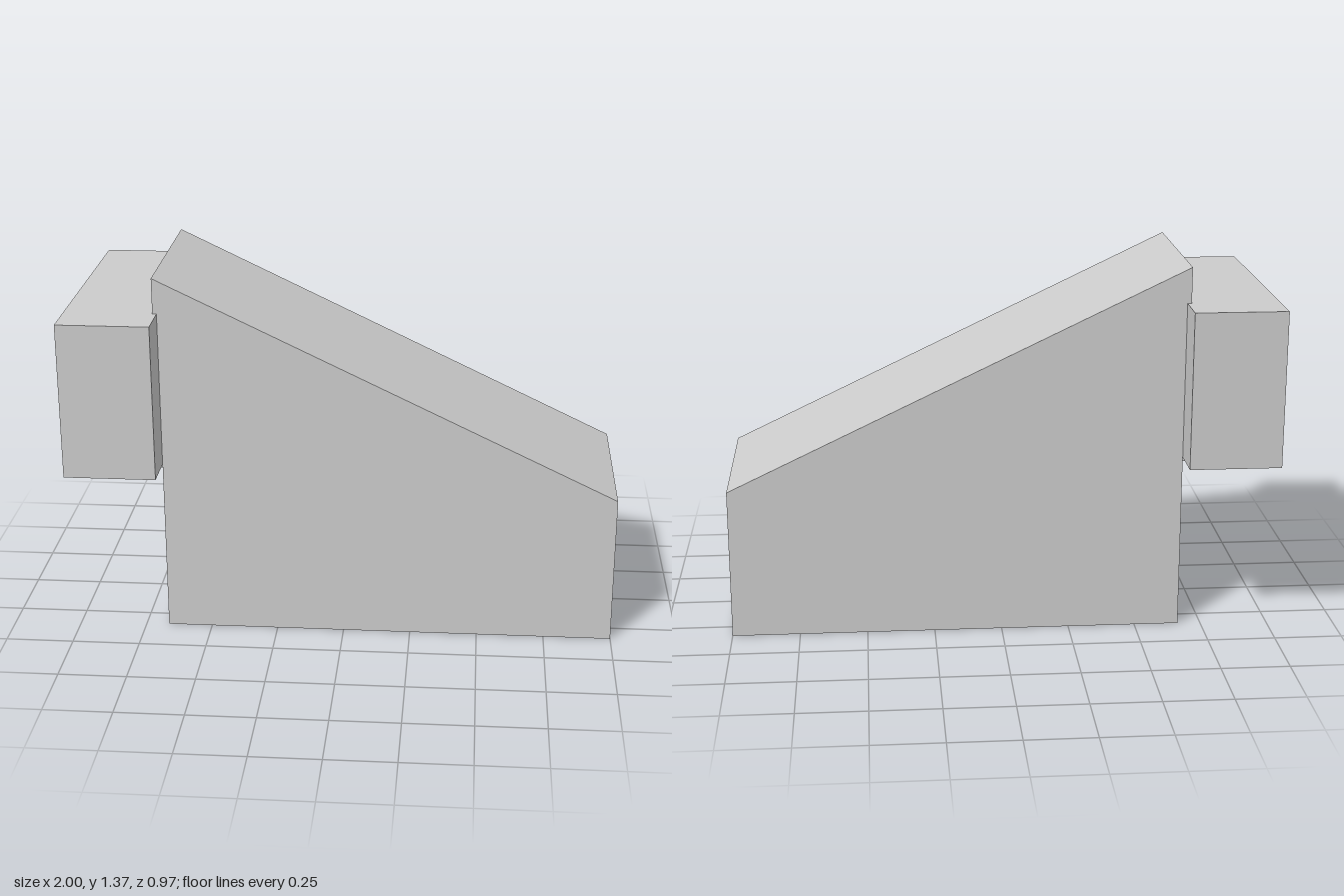
import * as THREE from 'three';

const T = 0.018;                       // panel thickness
const X0 = -0.665, W = 0.335;          // tunnel rear end, half width
const CAB = { x: -1, y0: 0.657, y1: 1.234, w: 0.485 };

const material = new THREE.MeshStandardMaterial({ color: 0xcccccc, flatShading: true });

export function createModel() {
  const model = new THREE.Group();

  const add = (name, geometry) => {
    const mesh = new THREE.Mesh(geometry, material);
    mesh.name = name;
    model.add(mesh);
    return mesh;
  };
  // box between two corners
  const box = (name, [ax, ay, az], [bx, by, bz]) =>
    add(name, new THREE.BoxGeometry(bx - ax, by - ay, bz - az))
      .position.set((ax + bx) / 2, (ay + by) / 2, (az + bz) / 2);
  // side profile (x, y) swept from z0 to z1
  const prism = (name, points, z0, z1) => {
    const shape = new THREE.Shape(points.map(([x, y]) => new THREE.Vector2(x, y)));
    const geometry = new THREE.ExtrudeGeometry(shape, { depth: z1 - z0, bevelEnabled: false });
    add(name, geometry.translate(0, 0, z0));
  };

  // tunnel: side walls, floor, sloping roof and the short wall above the cabin
  const wall = [[X0, 0], [1, 0], [1, 0.56], [-0.68, 1.365], [-0.68, CAB.y1], [X0, CAB.y1]];
  prism('leftTunnelWall', wall, -W, -W + T);
  prism('rightTunnelWall', wall, W - T, W);
  const inner = W - T;
  box('tunnelFloor', [X0, 0, -inner], [1, T, inner]);
  prism('roof', [[-0.68, 1.345], [1, 0.54], [1, 0.56], [-0.68, 1.365]], -inner, inner);
  box('upperEndWall', [-0.68, CAB.y1 - T, -inner], [X0, 1.345, inner]);

  // stairs: a thin folded strip climbing to the cabin floor, open beneath
  const count = 24, startX = 0.6;
  const rise = (CAB.y0 + T - T) / count, run = (startX - X0) / (count - 1);
  const top = [], under = [];
  for (let i = 0; i < count; i++) {
    const x = startX - i * run, y = T + i * rise;
    top.push([x, y], [x, y + rise]);
    under.push([x - 0.012, Math.max(T, y - 0.012)], [x - 0.012, y + rise - 0.012]);
  }
  prism('stairs', [...top, ...under.reverse()], -inner, inner);

  // cabin at the head of the stairs, open at its outer end
  const { x, y0, y1, w } = CAB;
  box('cabinFloor', [x, y0, -w], [X0, y0 + T, w]);
  box('cabinCeiling', [x, y1 - T, -w], [X0, y1, w]);
  for (const s of [-1, 1]) {
    const span = (a, b) => [Math.min(s * a, s * b), Math.max(s * a, s * b)];
    const [a, b] = span(w - T, w);
    box('cabinSide', [x, y0 + T, a], [X0, y1 - T, b]);
    const [c, d] = span(inner, w - T);
    box('cabinReturn', [X0 - T, y0 + T, c], [X0, y1 - T, d]);
  }

  return model;
}
